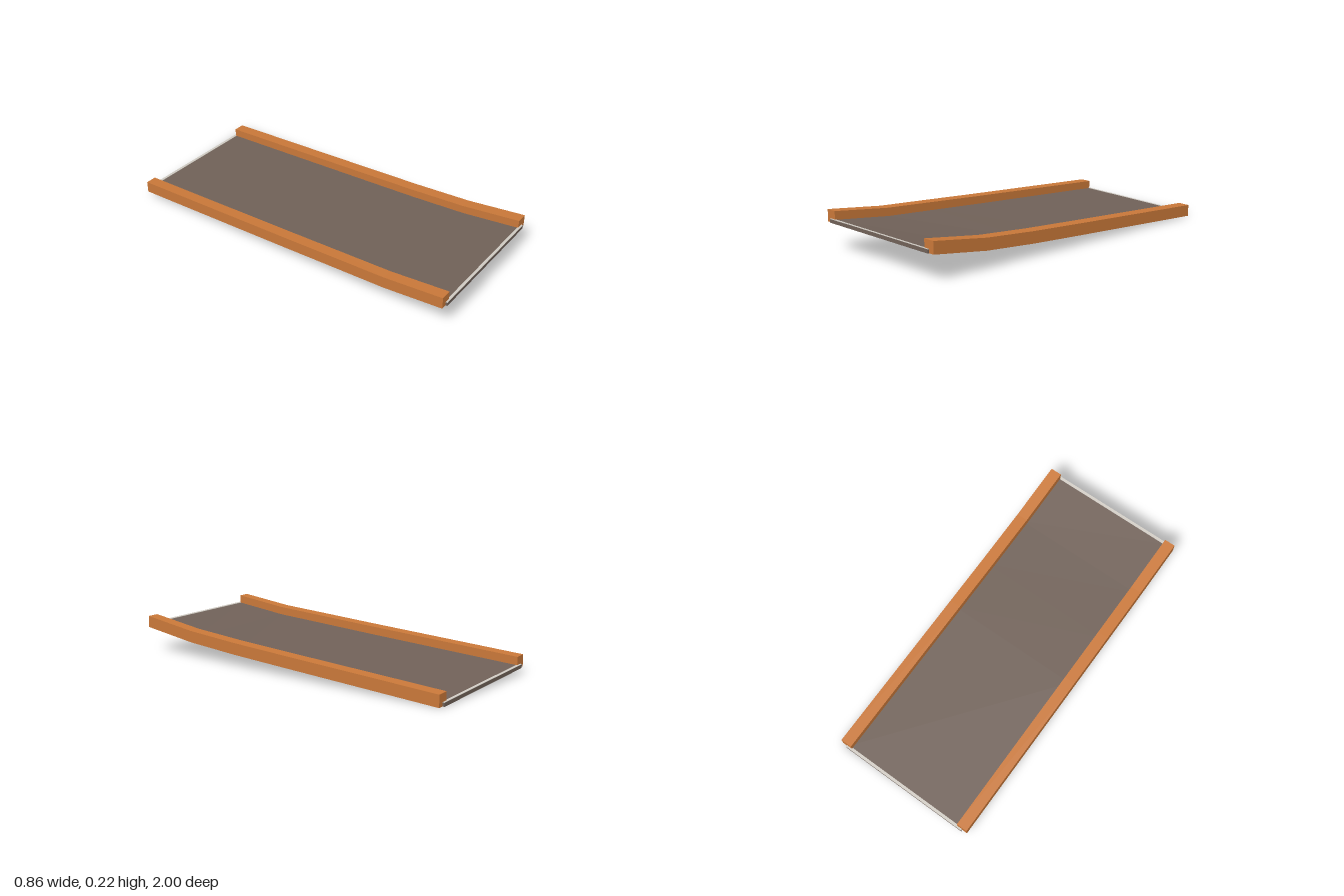
import * as THREE from 'three';

// Stations along the ramp: z, underside height at the right edge (-x) and left edge (+x)
const STATIONS = [
  [1, 0.157, 0.145],
  [0.65, 0.12, 0.098],
  [0.32, 0.103, 0.073],
  [0, 0.086, 0.055],
  [-1, 0.037, 0.001],
];
const HALF = 0.428;

// Underside height of the twisted, bent ramp at any point
function baseHeight(x, z) {
  let i = 0;
  while (i < STATIONS.length - 2 && z < STATIONS[i + 1][0]) i++;
  const [za, ra, la] = STATIONS[i];
  const [zb, rb, lb] = STATIONS[i + 1];
  const t = (z - za) / (zb - za);
  const right = ra + (rb - ra) * t;
  const left = la + (lb - la) * t;
  return right + (left - right) * (x + HALF) / (2 * HALF);
}

// Box bent to follow the ramp; y0 and y1 are measured from the underside
function bentBox(name, material, x0, x1, y0, y1, z0, z1) {
  const inner = STATIONS.map((s) => s[0]).filter((z) => z > z0 + 0.02 && z < z1 - 0.02);
  const zs = [z0, ...inner.reverse(), z1];
  const n = zs.length - 1;
  const geometry = new THREE.BoxGeometry(1, 1, n, 1, 1, n);
  const p = geometry.attributes.position;
  for (let i = 0; i < p.count; i++) {
    const x = p.getX(i) < 0 ? x0 : x1;
    const z = zs[Math.round(p.getZ(i) + n / 2)];
    p.setXYZ(i, x, baseHeight(x, z) + (p.getY(i) < 0 ? y0 : y1), z);
  }
  geometry.computeVertexNormals();
  const mesh = new THREE.Mesh(geometry, material);
  mesh.name = name;
  return mesh;
}

export function createModel() {
  const group = new THREE.Group();
  group.name = 'ramp';
  const make = (name, color) => {
    const m = new THREE.MeshStandardMaterial({ color, flatShading: true });
    m.name = name;
    return m;
  };
  const orange = make('orange', 0xc97839);
  const brown = make('greyBrown', 0x706158);
  const pale = make('paleGrey', 0xcfcac2);

  // Deck slab
  group.add(bentBox('deck', brown, -0.397, 0.397, -0.0005, 0.02, -1, 1));

  // Side rails
  group.add(bentBox('rightRail', orange, -HALF, -0.365, 0, 0.066, -0.99, 0.99));
  group.add(bentBox('leftRail', orange, 0.362, HALF, 0, 0.066, -0.99, 0.99));

  // Pale edge strips at both ends of the deck
  group.add(bentBox('frontEdge', pale, -0.397, 0.397, 0.019, 0.0215, 0.984, 1));
  group.add(bentBox('backEdge', pale, -0.397, 0.397, 0.019, 0.0215, -1, -0.984));

  return group;
}
